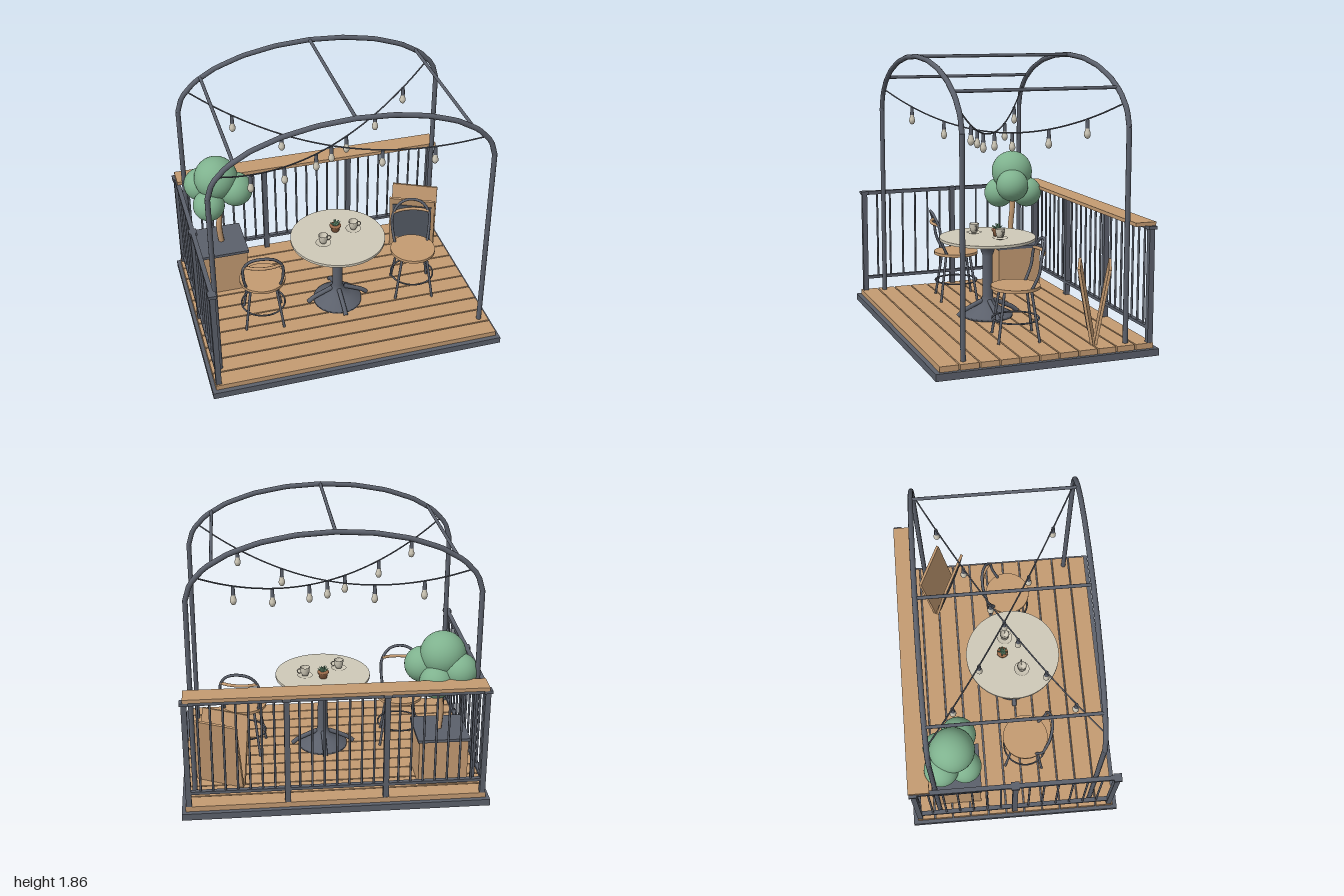
import * as THREE from 'three';

const mat = (name, color) => {
  const m = new THREE.MeshStandardMaterial({ color });
  m.name = name;
  return m;
};
const V = (x, y, z) => new THREE.Vector3(x, y, z);

export function createModel() {
  const metal = mat('dark metal', 0x5b606b);
  const wood = mat('wood', 0xc49b72);
  const leaf = mat('leaf green', 0x7fb28e);
  const cream = mat('cream', 0xcfc9b8);
  const clay = mat('clay', 0x9a6a4a);
  const slate = mat('slate', 0x555b66);
  const cupInside = new THREE.MeshStandardMaterial({ color: 0xcfc9b8, side: THREE.DoubleSide });
  cupInside.name = 'cup cream';

  const model = new THREE.Group();
  model.name = 'terrace';
  const group = (name, x = 0, y = 0, z = 0, parent = model) => {
    const g = new THREE.Group();
    g.name = name;
    g.position.set(x, y, z);
    parent.add(g);
    return g;
  };
  const add = (parent, name, geo, material, x = 0, y = 0, z = 0) => {
    const m = new THREE.Mesh(geo, material);
    m.name = name;
    m.position.set(x, y, z);
    parent.add(m);
    return m;
  };
  const box = (parent, name, material, w, h, d, x, y, z) =>
    add(parent, name, new THREE.BoxGeometry(w, h, d), material, x, y, z);
  const rod = (parent, name, material, a, b, r, r2 = r) => {
    const m = add(parent, name, new THREE.CylinderGeometry(r2, r, a.distanceTo(b), 10), material);
    m.position.copy(a).lerp(b, 0.5);
    m.quaternion.setFromUnitVectors(V(0, 1, 0), b.clone().sub(a).normalize());
    return m;
  };
  const tube = (parent, name, material, pts, r, seg = 32) =>
    add(parent, name, new THREE.TubeGeometry(new THREE.CatmullRomCurve3(pts), seg, r, 8), material);
  const lathe = (parent, name, material, pts, x = 0, y = 0, z = 0, seg = 28) =>
    add(parent, name, new THREE.LatheGeometry(pts.map(p => new THREE.Vector2(...p)), seg), material, x, y, z);

  // Base and deck boards
  box(model, 'base', metal, 2, 0.045, 1.46, 0, 0.0225, 0);
  const deck = group('deck');
  for (let i = -5; i <= 5; i++) box(deck, 'deckBoard', wood, 1.95, 0.035, 0.118, 0, 0.0625, i * 0.128);

  // Railings along the back and the right-hand side
  const railing = group('railing');
  const post = (x, z) => {
    box(railing, 'railPost', metal, 0.036, 0.73, 0.036, x, 0.445, z);
    box(railing, 'postCap', metal, 0.054, 0.022, 0.054, x, 0.812, z);
  };
  const railRun = (a, b, bays, perBay) => {
    const length = a.distanceTo(b), alongX = Math.abs(b.x - a.x) > 0.1;
    const mid = a.clone().lerp(b, 0.5);
    for (const [y, t] of [[0.81, 0.026], [0.175, 0.02]])
      box(railing, 'rail', metal, alongX ? length : 0.03, t, alongX ? 0.03 : length, mid.x, y, mid.z);
    const n = bays * (perBay + 1);
    for (let i = 1; i < n; i++) {
      const p = a.clone().lerp(b, i / n);
      if (i % (perBay + 1) === 0) post(p.x, p.z);
      else add(railing, 'baluster', new THREE.CylinderGeometry(0.0075, 0.0075, 0.635, 8), metal, p.x, 0.49, p.z);
    }
  };
  railRun(V(-0.953, 0, -0.68), V(0.953, 0, -0.68), 3, 7);
  railRun(V(-0.953, 0, -0.68), V(-0.953, 0, 0.67), 2, 6);
  for (const [x, z] of [[-0.953, -0.68], [0.953, -0.68], [-0.953, 0.67]]) post(x, z);
  box(railing, 'barShelf', wood, 1.92, 0.024, 0.14, 0, 0.835, -0.64);

  // Arched frame with cross bars
  const frame = group('archFrame');
  const archY = x => 1.43 + 0.41 * Math.sqrt(1 - (x / 0.915) ** 2);
  for (const z of [-0.535, 0.535]) {
    const path = new THREE.CurvePath();
    const pts = [];
    for (let i = 0; i <= 12; i++) {
      const a = Math.PI * (1 - i / 12);
      pts.push(V(0.915 * Math.cos(a), 1.43 + 0.41 * Math.sin(a), z));
    }
    for (let i = 0; i < 12; i++) path.add(new THREE.LineCurve3(pts[i], pts[i + 1]));
    add(frame, 'arch', new THREE.TubeGeometry(path, 48, 0.017, 10), metal);
    for (const x of [-0.915, 0.915]) rod(frame, 'archPost', metal, V(x, 0.08, z), V(x, 1.432, z), 0.017);
  }
  for (const x of [-0.75, 0, 0.75])
    rod(frame, 'crossBar', metal, V(x, archY(x), -0.535), V(x, archY(x), 0.535), 0.011);

  // Two crossing strings of bulbs
  const lights = group('stringLights');
  const strings = [[1, [-0.686, -0.343, 0, 0.343, 0.686]], [-1, [-0.733, -0.44, -0.147, 0.147, 0.44, 0.733]]];
  for (const [s, spots] of strings) {
    const at = t => V(0.85 * t, 1.33 + 0.245 * t * t, 0.535 * t * s);
    tube(lights, 'cord', metal, Array.from({ length: 13 }, (_, i) => at(i / 6 - 1)), 0.005, 48);
    for (const t of spots) {
      const bulb = group('hangingBulb', 0, 0, 0, lights);
      bulb.position.copy(at(t));
      add(bulb, 'socket', new THREE.CylinderGeometry(0.011, 0.014, 0.055, 10), metal, 0, -0.03, 0);
      lathe(bulb, 'bulb', cream, [[0, -0.125], [0.013, -0.12], [0.021, -0.104], [0.021, -0.09], [0.014, -0.067], [0.011, -0.052]], 0, 0, 0, 12);
    }
  }

  // Round pedestal table
  const table = group('table', 0.027, 0, 0.06);
  add(table, 'tableTop', new THREE.CylinderGeometry(0.325, 0.325, 0.018, 48), cream, 0, 0.621, 0);
  lathe(table, 'pedestal', metal, [[0, 0.08], [0.17, 0.08], [0.17, 0.098], [0.1, 0.135], [0.05, 0.175],
    [0.036, 0.22], [0.034, 0.5], [0.05, 0.545], [0.085, 0.59], [0.085, 0.612]]);
  for (let i = 0; i < 4; i++) {
    const c = Math.cos(i * Math.PI / 2), s = Math.sin(i * Math.PI / 2);
    tube(table, 'tableFoot', metal, [[0.04, 0.19], [0.12, 0.155], [0.18, 0.125], [0.215, 0.096]].map(([r, y]) => V(r * c, y, r * s)), 0.016, 10);
  }

  // Cups on saucers
  for (const [x, z] of [[-0.09, 0.115], [0.152, 0.015]]) {
    const cup = group('cupAndSaucer', x, 0.63, z);
    lathe(cup, 'saucer', cupInside, [[0, 0.003], [0.03, 0.003], [0.053, 0.012]]);
    lathe(cup, 'cup', cupInside, [[0, 0.012], [0.02, 0.012], [0.029, 0.035], [0.033, 0.072], [0.029, 0.072], [0.025, 0.04], [0, 0.022]]);
    add(cup, 'cupHandle', new THREE.TorusGeometry(0.016, 0.004, 6, 14), cream, 0.037, 0.045, 0);
  }

  // Small succulent in a pot
  const succulent = group('succulent', 0.03, 0.63, -0.01);
  lathe(succulent, 'pot', clay, [[0, 0], [0.026, 0], [0.034, 0.036], [0.039, 0.036], [0.039, 0.047], [0, 0.047]]);
  for (let i = 0; i < 11; i++) {
    const a = i * 2.4, out = i < 7 ? 0.036 : 0.015, up = i < 7 ? 0.068 : 0.085;
    rod(succulent, 'succulentLeaf', leaf, V(0, 0.045, 0), V(Math.cos(a) * out, up, Math.sin(a) * out), 0.01, 0.002);
  }

  // Bistro chairs
  const chair = (x, z, turn) => {
    const c = group('chair', x, 0, z);
    c.rotation.y = turn;
    add(c, 'seat', new THREE.CylinderGeometry(0.157, 0.157, 0.02, 36), wood, 0, 0.415, 0);
    for (let i = 0; i < 4; i++) {
      const a = Math.PI / 4 + i * Math.PI / 2, dx = Math.cos(a), dz = Math.sin(a);
      rod(c, 'chairLeg', metal, V(dx * 0.185, 0.08, dz * 0.185), V(dx * 0.12, 0.408, dz * 0.12), 0.009);
    }
    add(c, 'legRing', new THREE.TorusGeometry(0.15, 0.006, 8, 32), metal, 0, 0.21, 0).rotation.x = Math.PI / 2;
    const half = [[0.115, 0.41, -0.08], [0.132, 0.52, -0.125], [0.13, 0.62, -0.14], [0.08, 0.695, -0.168]];
    const mirrored = half.map(([px, py, pz]) => V(-px, py, pz)).reverse();
    tube(c, 'backHoop', metal, [...half.map(p => V(...p)), V(0, 0.718, -0.18), ...mirrored], 0.01, 40);
    tube(c, 'backSlat', wood, [V(0.128, 0.637, -0.142), V(0.07, 0.637, -0.168), V(0, 0.637, -0.178), V(-0.07, 0.637, -0.168), V(-0.128, 0.637, -0.142)], 0.011, 20);
  };
  chair(-0.52, 0.105, Math.PI - 0.15);
  chair(0.577, 0.07, -0.19);

  // Planter with a small tree
  const planter = group('planter', -0.713, 0, -0.4);
  box(planter, 'planterBox', wood, 0.325, 0.32, 0.325, 0, 0.24, 0);
  box(planter, 'planterRim', metal, 0.345, 0.02, 0.345, 0, 0.405, 0);
  tube(planter, 'trunk', wood, [V(0.01, 0.4, 0), V(-0.002, 0.54, 0.008), V(0.01, 0.68, 0), V(0, 0.86, 0)], 0.021, 16);
  const crown = [[0, 0.953, 0, 0.15], [0.125, 0.865, 0.045, 0.118], [-0.073, 0.785, 0.075, 0.11],
    [-0.1, 0.865, -0.08, 0.115], [0.055, 0.8, -0.095, 0.11]];
  for (const [x, y, z, r] of crown) add(planter, 'foliage', new THREE.SphereGeometry(r, 28, 20), leaf, x, y, z);

  // Two-leaf menu board, joined at the foot and open at the top
  const board = group('menuBoard', 0.743, 0.08, -0.4);
  board.rotation.y = -0.45;
  for (const s of [1, -1]) {
    const side = group('boardLeaf', 0, 0, s * 0.012, board);
    side.rotation.x = s * 0.175;
    box(side, 'boardFrame', wood, 0.332, 0.485, 0.018, 0, 0.243, 0);
    if (s > 0) box(side, 'chalkPanel', slate, 0.285, 0.34, 0.006, 0, 0.262, 0.011);
  }
  return model;
}
